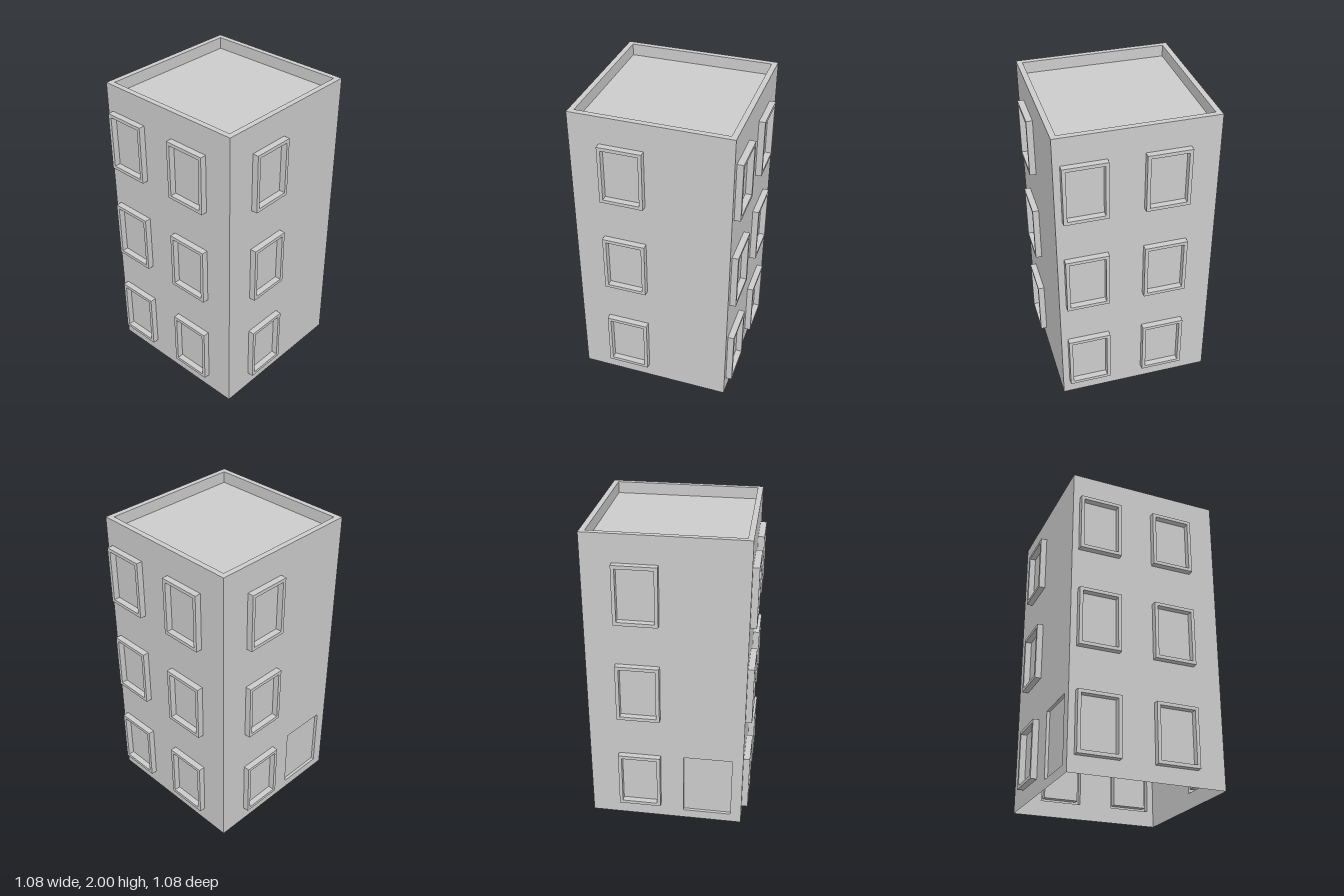
import * as THREE from 'three';

const material = new THREE.MeshStandardMaterial({ color: 0xcccccc, side: THREE.DoubleSide });

const HALF = 0.5, HEIGHT = 2, FLOORS = 3, FLOOR_HEIGHT = HEIGHT / FLOORS;
const WINDOW = { w: 0.275, h: 0.384, border: 0.022, depth: 0.04, y: 0.297 };
const DOOR = { x: 0.272, y: 0.275, w: 0.315, h: 0.43, depth: 0.02 };

function mesh(geometry, name) {
  const m = new THREE.Mesh(geometry, material);
  m.name = name;
  return m;
}

// Four corners of a centred rectangle at depth z, counter-clockwise from +z
function corners([w, h, z]) {
  return [[-1, -1], [1, -1], [1, 1], [-1, 1]].map(([sx, sy]) => [sx * w / 2, sy * h / 2, z]);
}

// Joins rectangles [w, h, z] into a flat-sided skin and closes the last one
function steppedPanel(rectangles) {
  const rings = rectangles.map(corners);
  const points = [];
  const quad = (a, b, c, d) => points.push(...a, ...b, ...c, ...a, ...c, ...d);
  for (let i = 0; i < rings.length - 1; i++) {
    for (let j = 0; j < 4; j++) {
      const k = (j + 1) % 4;
      quad(rings[i][j], rings[i][k], rings[i + 1][k], rings[i + 1][j]);
    }
  }
  quad(...rings[rings.length - 1]);
  const geometry = new THREE.BufferGeometry();
  geometry.setAttribute('position', new THREE.Float32BufferAttribute(points, 3));
  geometry.computeVertexNormals();
  return geometry;
}

function rectangleHole(x, y, w, h) {
  return new THREE.Path([
    new THREE.Vector2(x - w / 2, y - h / 2),
    new THREE.Vector2(x - w / 2, y + h / 2),
    new THREE.Vector2(x + w / 2, y + h / 2),
    new THREE.Vector2(x + w / 2, y - h / 2),
  ]);
}

// One facade facing +z, turned into place about the y axis
function makeFacade(name, angle, windowColumns, hasDoor) {
  const facade = new THREE.Group();
  facade.name = name;
  const wall = new THREE.Shape([
    new THREE.Vector2(-HALF, 0), new THREE.Vector2(HALF, 0),
    new THREE.Vector2(HALF, HEIGHT), new THREE.Vector2(-HALF, HEIGHT),
  ]);

  // Raised window frames, with the pane back at the wall plane
  const { w, h, border, depth } = WINDOW;
  const inner = [w - 2 * border, h - 2 * border];
  const windowGeometry = steppedPanel([
    [w, h, 0], [w, h, depth], [...inner, depth], [...inner, 0],
  ]);
  for (let floor = 0; floor < FLOORS; floor++) {
    for (const x of windowColumns) {
      const y = WINDOW.y + floor * FLOOR_HEIGHT;
      wall.holes.push(rectangleHole(x, y, w, h));
      const frame = mesh(windowGeometry, 'window');
      frame.position.set(x, y, HALF);
      facade.add(frame);
    }
  }

  // Shallow recessed door
  if (hasDoor) {
    wall.holes.push(rectangleHole(DOOR.x, DOOR.y, DOOR.w, DOOR.h));
    const door = mesh(steppedPanel([[DOOR.w, DOOR.h, 0], [DOOR.w, DOOR.h, -DOOR.depth]]), 'door');
    door.position.set(DOOR.x, DOOR.y, HALF);
    facade.add(door);
  }

  const wallMesh = mesh(new THREE.ShapeGeometry(wall), 'wall');
  wallMesh.position.z = HALF;
  facade.add(wallMesh);
  facade.rotation.y = angle;
  return facade;
}

export function createModel() {
  const building = new THREE.Group();
  building.name = 'building';

  building.add(
    makeFacade('frontFacade', 0, [-0.32, 0.18], false),
    makeFacade('leftFacade', Math.PI / 2, [-0.173], false),
    makeFacade('backFacade', Math.PI, [-0.32, 0.18], false),
    makeFacade('rightFacade', -Math.PI / 2, [-0.173], true),
  );

  // Parapet rim and sunken roof deck
  const roof = mesh(steppedPanel([[1, 1, 0], [0.93, 0.93, 0], [0.93, 0.93, -0.075]]), 'roof');
  roof.rotation.x = -Math.PI / 2;
  roof.position.y = HEIGHT;
  building.add(roof);

  return building;
}
